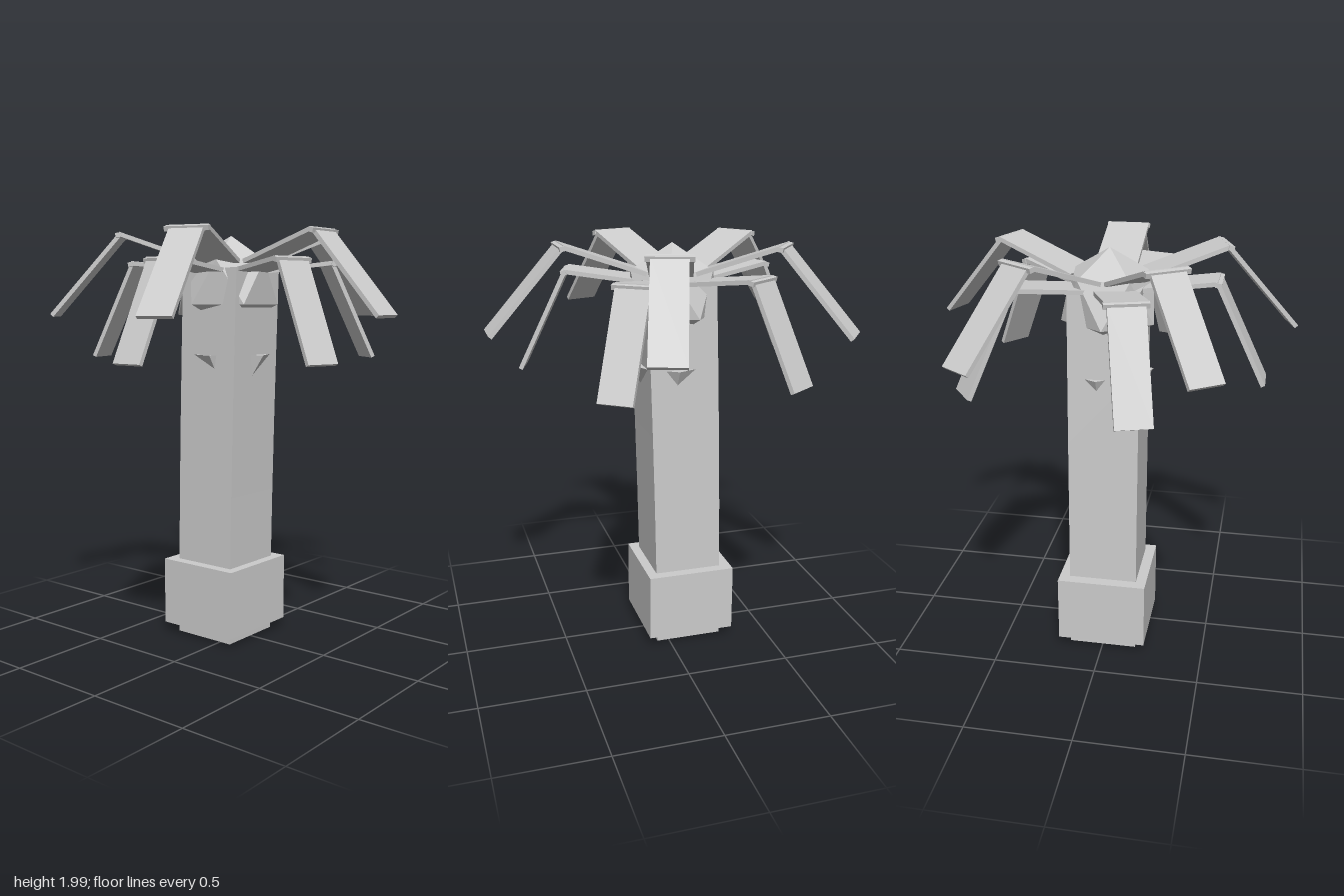
import * as THREE from 'three';
import { ConvexGeometry } from 'three/addons/geometries/ConvexGeometry.js';

const grey = new THREE.MeshStandardMaterial({ color: 0xcccccc, flatShading: true });
grey.name = 'lightGrey';

function part(name, geometry) {
  const mesh = new THREE.Mesh(geometry, grey);
  mesh.name = name;
  return mesh;
}

// Flat board running from (r0, y0) to (r1, y1) in a radial plane
function board(name, r0, y0, r1, y1, width, thick) {
  const mesh = part(name, new THREE.BoxGeometry(Math.hypot(r1 - r0, y1 - y0), thick, width));
  mesh.position.set((r0 + r1) / 2, (y0 + y1) / 2, 0);
  mesh.rotation.z = Math.atan2(y1 - y0, r1 - r0);
  return mesh;
}

// Frond: rising inner board, elbow bar and drooping outer board
function frond(name, angle, f) {
  const g = new THREE.Group();
  g.name = name;
  g.add(board('frondInner', f.r0, f.y0, f.r1, f.y1, f.width, 0.02));
  g.add(board('frondElbow', f.r1 - 0.012, f.y1 - 0.003, f.r1 + 0.014, f.y1 - 0.009, f.width + 0.008, 0.022));
  g.add(board('frondOuter', f.r1, f.y1 - 0.006, f.r2, f.y2, 0.162, 0.02));
  g.position.x = -0.06;
  g.rotation.y = -angle;
  return g;
}

// Leaning square trunk, bending more towards the top
function trunkGeometry() {
  const h = 1.82;
  const geo = new THREE.BoxGeometry(0.33, h, 0.33, 1, 5, 1).translate(0, h / 2, 0);
  const p = geo.attributes.position;
  for (let i = 0; i < p.count; i++) {
    const t = Math.max(0, p.getY(i) / h);
    p.setX(i, p.getX(i) - 0.105 + 0.045 * Math.pow(t, 1.5));
  }
  geo.computeVertexNormals();
  return geo;
}

// Faceted crown: apex, two staggered rings of five, lower tip
function crownGeometry() {
  const pts = [new THREE.Vector3(-0.06, 1.977, 0), new THREE.Vector3(-0.06, 1.53, 0)];
  for (let i = 0; i < 5; i++) {
    const a = i * Math.PI * 0.4, b = a + Math.PI / 5;
    pts.push(new THREE.Vector3(-0.06 + 0.2 * Math.cos(a), 1.858, 0.2 * Math.sin(a)));
    pts.push(new THREE.Vector3(-0.06 + 0.225 * Math.cos(b), 1.65, 0.225 * Math.sin(b)));
  }
  return new ConvexGeometry(pts);
}

// Pointed stub on a trunk face: u runs along the face, v is outward
function stub(toWorld, u0, u1, uTip, depth, low) {
  const pts = [[u0, 1.41, -0.01], [u1, 1.41, -0.01], [uTip, 1.41, depth], [uTip, low, -0.01]];
  return part('trunkStub', new ConvexGeometry(pts.map(([u, y, v]) => toWorld(u, y, v))));
}

export function createModel() {
  const model = new THREE.Group();
  model.name = 'palmTree';

  model.add(part('trunk', trunkGeometry()));
  const base = part('baseBlock', new THREE.BoxGeometry(0.43, 0.33, 0.43));
  base.position.set(-0.105, 0.215, 0);
  model.add(base);
  model.add(part('crown', crownGeometry()));

  // Stubs on the four trunk faces
  const V = (x, y, z) => new THREE.Vector3(x, y, z);
  model.add(stub((u, y, v) => V(0.09 + v, y, u), -0.135, 0.035, 0.025, 0.065, 1.3));
  model.add(stub((u, y, v) => V(u, y, 0.165 + v), -0.19, -0.015, -0.03, 0.038, 1.33));
  model.add(stub((u, y, v) => V(-0.242 - v, y, u), -0.1, 0.02, -0.03, 0.025, 1.34));
  model.add(stub((u, y, v) => V(u, y, -0.165 - v), -0.15, 0.03, -0.04, 0.038, 1.32));

  // Two tiers of five fronds, staggered
  const upper = { r0: 0.15, y0: 1.85, r1: 0.53, y1: 1.982, r2: 0.865, y2: 1.597, width: 0.2 };
  const lower = { r0: 0.1, y0: 1.8, r1: 0.495, y1: 1.852, r2: 0.715, y2: 1.39, width: 0.185 };
  for (let i = 0; i < 5; i++) {
    const a = i * Math.PI * 0.4;
    model.add(frond('upperFrond', a, upper));
    model.add(frond('lowerFrond', a + Math.PI / 10, lower));
  }
  return model;
}
